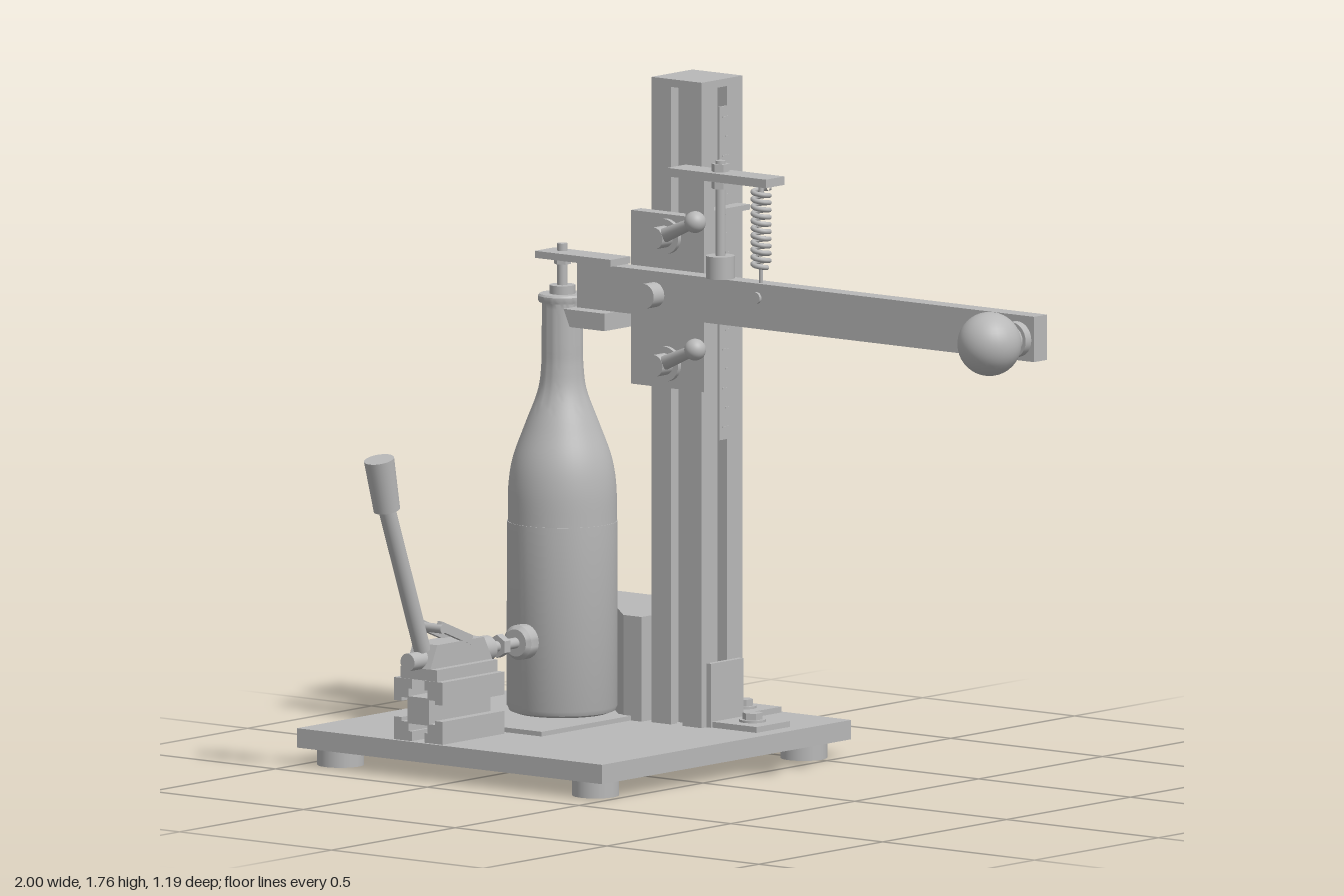
import * as THREE from 'three';
import { toCreasedNormals } from 'three/addons/utils/BufferGeometryUtils.js';

export function createModel() {
  const model = new THREE.Group();
  model.name = 'bottleCorkingStand';
  const grey = new THREE.MeshStandardMaterial({ color: 0xb8b8b8 });
  grey.name = 'plain grey';

  const add = (name, geometry, x = 0, y = 0, z = 0) => {
    const mesh = new THREE.Mesh(geometry, grey);
    mesh.name = name;
    mesh.position.set(x, y, z);
    model.add(mesh);
    return mesh;
  };
  // Box from its limits on each axis
  const box = (name, x0, x1, y0, y1, z0, z1) =>
    add(name, new THREE.BoxGeometry(x1 - x0, y1 - y0, z1 - z0), (x0 + x1) / 2, (y0 + y1) / 2, (z0 + z1) / 2);
  // Cylinder, cone or hex prism running from a to b
  const rod = (name, a, b, r, rEnd = r, sides = 28) => {
    const start = new THREE.Vector3(...a), end = new THREE.Vector3(...b);
    const dir = end.clone().sub(start);
    let g = new THREE.CylinderGeometry(rEnd, r, dir.length(), sides);
    if (sides < 8) g = toCreasedNormals(g, 0.5);
    const mesh = add(name, g);
    mesh.position.copy(start.add(end).multiplyScalar(0.5));
    mesh.quaternion.setFromUnitVectors(new THREE.Vector3(0, 1, 0), dir.normalize());
    return mesh;
  };
  const ball = (name, x, y, z, r) => add(name, new THREE.SphereGeometry(r, 32, 20), x, y, z);
  const polygon = (pts) => new THREE.Shape(pts.map(([x, y]) => new THREE.Vector2(x, y)));
  const extrude = (shape, depth) => new THREE.ExtrudeGeometry(shape, { depth, bevelEnabled: false });
  // Square rail section with a T-slot in each side
  const railShape = (h, m) => {
    const lip = h - 0.025, floor = h - 0.045, w = 0.031;
    const side = [[h, -h], [h, -m], [lip, -m], [lip, -w], [floor, -w], [floor, w], [lip, w], [lip, m], [h, m]];
    const pts = [];
    for (let k = 0; k < 4; k++) {
      const c = [1, 0, -1, 0][k], s = [0, 1, 0, -1][k];
      side.forEach(([x, y]) => pts.push([x * c - y * s, x * s + y * c]));
    }
    return polygon(pts);
  };

  // Base plate, feet and bottle pad
  box('basePlate', -1, 0.005, 0.045, 0.095, -0.592, 0.413);
  for (const x of [-0.92, -0.08]) for (const z of [-0.505, 0.335])
    rod('foot', [x, 0, z], [x, 0.045, z], 0.06);
  box('bottlePad', -0.79, -0.425, 0.095, 0.107, -0.235, 0.13);

  // Slotted column with end cap and ruler
  add('column', extrude(railShape(0.0825, 0.019), 1.645).rotateX(-Math.PI / 2), -0.2825, 0.095, -0.3225);
  box('columnCap', -0.365, -0.2, 1.74, 1.76, -0.405, -0.24);
  box('ruler', -0.202, -0.197, 0.83, 1.69, -0.345, -0.308);
  for (let i = 0; i < 17; i++) {
    const y = 0.86 + i * 0.05;
    box('rulerMark', -0.197, -0.195, y, y + 0.004, -0.345, i % 2 ? -0.332 : -0.32);
  }

  // Angle brackets holding the column
  box('sideBracketBase', -0.2, -0.04, 0.095, 0.11, -0.4, -0.265);
  box('sideBracketWall', -0.2, -0.185, 0.095, 0.26, -0.39, -0.26);
  box('backBracketBase', -0.345, -0.215, 0.095, 0.11, -0.58, -0.405);
  box('backBracketWall', -0.345, -0.215, 0.095, 0.26, -0.422, -0.405);
  for (const [x, z] of [[-0.11, -0.335], [-0.28, -0.505]]) {
    rod('bracketWasher', [x, 0.11, z], [x, 0.116, z], 0.034);
    rod('bracketBolt', [x, 0.116, z], [x, 0.133, z], 0.026, 0.026, 6);
  }

  // V-block behind the bottle
  const block = polygon([[-0.835, 0.23], [-0.77, 0.23], [-0.61, 0.382], [-0.45, 0.23], [-0.39, 0.23], [-0.39, 0.545], [-0.835, 0.545]]);
  add('vBlock', extrude(block, 0.27).rotateX(-Math.PI / 2), 0, 0.095, 0);

  // Bottle
  const bx = -0.61, bz = -0.18;
  const shoulder = new THREE.SplineCurve([[0.139, 0.6], [0.138, 0.69], [0.126, 0.765], [0.095, 0.85], [0.063, 0.935], [0.054, 1.0], [0.053, 1.06], [0.052, 1.165]]
    .map(([r, y]) => new THREE.Vector2(r, y))).getPoints(36);
  const bottle = [[0, 0.107], [0.12, 0.107], [0.136, 0.113], [0.141, 0.125], [0.141, 0.6]].map(([r, y]) => new THREE.Vector2(r, y))
    .concat(shoulder, [[0.06, 1.165], [0.062, 1.17], [0.062, 1.181], [0.058, 1.186], [0, 1.186]].map(([r, y]) => new THREE.Vector2(r, y)));
  add('bottle', toCreasedNormals(new THREE.LatheGeometry(bottle, 48), 0.6), bx, 0, bz);

  // Pressing foot over the bottle mouth
  rod('pressFoot', [bx, 1.186, bz], [bx, 1.208, bz], 0.033);
  rod('pressStem', [bx, 1.208, bz], [bx, 1.315, bz], 0.013);
  rod('pressNut', [bx, 1.262, bz], [bx, 1.28, bz], 0.022, 0.022, 6);
  box('pressPlate', -0.66, -0.41, 1.278, 1.296, -0.21, -0.13);
  const stop = polygon([[-0.545, 1.16], [-0.525, 1.115], [-0.41, 1.115], [-0.41, 1.16]]);
  add('leverStop', extrude(stop, 0.14), 0, 0, -0.245);

  // Sliding carriage and lever
  box('carriage', -0.4, -0.16, 0.97, 1.418, -0.24, -0.2);
  box('rulerPointer', -0.2, -0.16, 1.42, 1.434, -0.385, -0.2);
  box('lever', -0.535, 0.97, 1.16, 1.277, -0.2, -0.148);
  rod('leverPivot', [-0.28, 1.217, -0.2], [-0.28, 1.217, -0.105], 0.032);
  rod('springPin', [0.057, 1.24, -0.16], [0.057, 1.24, -0.14], 0.015);
  rod('knobCollar', [0.915, 1.215, -0.148], [0.915, 1.215, -0.125], 0.046);
  rod('knobNeck', [0.915, 1.215, -0.125], [0.915, 1.215, -0.08], 0.036);
  ball('knob', 0.915, 1.215, -0.035, 0.082);

  // Two clamping handles on the carriage
  for (const y of [1.362, 1.033]) {
    rod('clampWasher', [-0.28, y, -0.2], [-0.28, y, -0.188], 0.045);
    rod('clampHub', [-0.28, y, -0.188], [-0.28, y, -0.145], 0.028);
    rod('clampArm', [-0.275, y + 0.002, -0.168], [-0.14, y + 0.056, -0.14], 0.019, 0.014);
    ball('clampBall', -0.14, y + 0.056, -0.14, 0.028);
  }

  // Stop screw and return spring on the upper arm
  const sz = -0.165;
  box('armBracket', -0.22, -0.16, 1.28, 1.53, -0.24, -0.2);
  box('upperArm', -0.22, 0.105, 1.53, 1.552, -0.2, -0.125);
  rod('stopBuffer', [-0.077, 1.277, sz], [-0.077, 1.335, sz], 0.037);
  rod('stopScrew', [-0.077, 1.335, sz], [-0.077, 1.58, sz], 0.013);
  for (const y of [1.508, 1.552]) rod('stopNut', [-0.077, y, sz], [-0.077, y + 0.02, sz], 0.023, 0.023, 6);
  const turns = 11, coil = [];
  for (let i = 0; i <= turns * 14; i++) {
    const a = i / 14 * Math.PI * 2;
    coil.push(new THREE.Vector3(Math.cos(a) * 0.021, 1.318 + 0.205 * i / (turns * 14), Math.sin(a) * 0.021));
  }
  add('spring', new THREE.TubeGeometry(new THREE.CatmullRomCurve3(coil), turns * 22, 0.0065, 8), 0.057, 0, sz);
  rod('springHook', [0.057, 1.24, sz], [0.057, 1.325, sz], 0.005, 0.005, 10);
  rod('springHanger', [0.057, 1.51, sz], [0.057, 1.54, sz], 0.007, 0.007, 10);

  // Toggle clamp on a short slotted rail
  add('clampRail', extrude(railShape(0.08, 0.021), 0.25), bx, 0.175, 0.152);
  box('toggleBase', bx - 0.06, bx + 0.06, 0.255, 0.285, 0.155, 0.4);
  const body = polygon([[-0.152, 0.285], [-0.402, 0.285], [-0.374, 0.345], [-0.185, 0.345]]);
  add('toggleBody', extrude(body, 0.08).rotateY(Math.PI / 2), bx - 0.04, 0, 0);
  rod('plunger', [bx, 0.305, 0.445], [bx, 0.305, 0.15], 0.023);
  rod('plungerSleeve', [bx, 0.305, 0.182], [bx, 0.305, 0.122], 0.033);
  rod('plungerRod', [bx, 0.305, 0.13], [bx, 0.305, 0], 0.014);
  rod('plungerNut', [bx, 0.305, 0.085], [bx, 0.305, 0.062], 0.03, 0.03, 6);
  const tip = [[0, 0], [0.035, 0], [0.045, 0.01], [0.045, 0.04], [0.035, 0.05], [0, 0.05]].map(([r, y]) => new THREE.Vector2(r, y));
  add('rubberTip', toCreasedNormals(new THREE.LatheGeometry(tip, 32), 0.6), bx, 0.305, -0.04).rotation.x = Math.PI / 2;
  for (const side of [-1, 1]) {
    const link = box('toggleLink', -0.007, 0.007, -0.012, 0.012, -0.068, 0.068);
    link.position.set(bx + side * 0.034, 0.368, 0.297);
    link.rotation.x = -0.38;
  }
  rod('togglePin', [bx - 0.045, 0.385, 0.355], [bx + 0.045, 0.385, 0.355], 0.012);
  rod('handleRod', [bx, 0.33, 0.385], [bx, 0.715, 0.53], 0.022);
  rod('handleGrip', [bx, 0.708, 0.528], [bx, 0.842, 0.56], 0.034, 0.039);
  return model;
}
